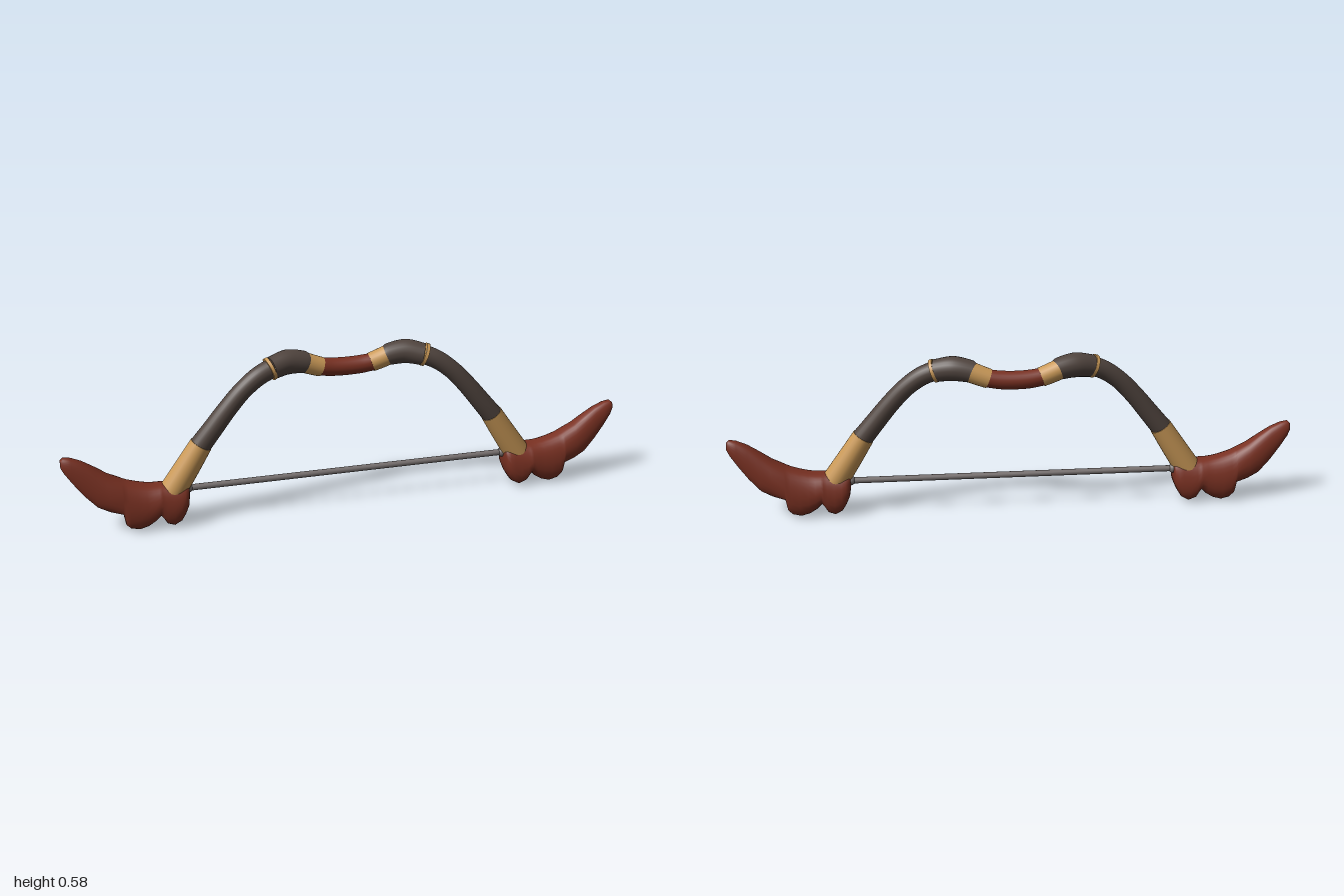
import * as THREE from 'three';

const RED = 0x7a3122, TAN = 0xcb9a58, DARK = 0x51453f, STEEL = 0x77706f;
const mat = (color) => new THREE.MeshStandardMaterial({ color, roughness: 0.8 });

// Swept round bar; each point is [x, y, z, radius], side mirrors x
function bar(name, pts, color, side = 1, capped = false) {
  const curve = new THREE.CatmullRomCurve3(pts.map(([x, y, z]) => new THREE.Vector3(x * side, y, z)));
  const n = pts.length * 6, m = 24;
  const geo = new THREE.TubeGeometry(curve, n, 1, m);
  const pos = geo.attributes.position, v = new THREE.Vector3();
  for (let i = 0; i <= n; i++) {
    const u = i / n, c = curve.getPointAt(u);
    const f = curve.getUtoTmapping(u) * (pts.length - 1);
    const k = Math.min(Math.floor(f), pts.length - 2);
    const r = THREE.MathUtils.lerp(pts[k][3], pts[k + 1][3], f - k);
    for (let j = 0; j <= m; j++) {
      const id = i * (m + 1) + j;
      v.fromBufferAttribute(pos, id).sub(c).multiplyScalar(r).add(c);
      pos.setXYZ(id, v.x, v.y, v.z);
    }
  }
  const group = new THREE.Group();
  group.name = name;
  group.add(new THREE.Mesh(geo, mat(color)));
  group.children[0].name = name + 'Surface';
  // Flat discs closing both ends
  if (capped) for (const u of [0, 1]) {
    const disc = new THREE.Mesh(new THREE.CircleGeometry(pts[u ? pts.length - 1 : 0][3], m), mat(color));
    const dir = curve.getTangentAt(u).multiplyScalar(u ? 1 : -1);
    disc.name = name + 'End';
    disc.position.copy(curve.getPointAt(u));
    disc.quaternion.setFromUnitVectors(new THREE.Vector3(0, 0, 1), dir);
    group.add(disc);
  }
  return group;
}

// Horn cross-sections: x, top, bottom, half depth
const HORN = [
  [0.578, 0.15, 0.1, 0.03], [0.583, 0.155, 0.07, 0.047], [0.595, 0.157, 0.043, 0.056],
  [0.61, 0.157, 0.018, 0.06], [0.635, 0.157, 0.004, 0.063], [0.66, 0.157, 0.014, 0.063],
  [0.672, 0.157, 0.036, 0.063], [0.681, 0.157, 0.048, 0.063], [0.7, 0.158, 0.028, 0.063],
  [0.725, 0.162, 0.012, 0.063], [0.755, 0.17, 0.003, 0.063], [0.785, 0.18, 0.01, 0.062],
  [0.8, 0.187, 0.025, 0.06], [0.807, 0.19, 0.066, 0.058], [0.85, 0.213, 0.08, 0.053],
  [0.89, 0.243, 0.1, 0.045], [0.93, 0.27, 0.145, 0.036], [0.965, 0.286, 0.195, 0.029],
  [0.99, 0.291, 0.235, 0.022], [1.0, 0.282, 0.255, 0.012],
];

// Lobed horn lofted through rounded-box sections
function horn(side) {
  const m = 28, zc = 0.012, pos = [], idx = [];
  const soft = (a) => Math.sign(a) * Math.abs(a) ** 0.7;
  for (const [x, top, bottom, half] of HORN) {
    for (let j = 0; j < m; j++) {
      const a = (j / m) * Math.PI * 2, sy = soft(Math.sin(a));
      const taper = 1 - 0.25 * Math.max(0, sy);
      pos.push(x * side, (top + bottom) / 2 + sy * (top - bottom) / 2, zc + soft(Math.cos(a)) * half * taper);
    }
  }
  const tri = (a, b, c) => (side > 0 ? idx.push(a, b, c) : idx.push(a, c, b));
  for (let i = 0; i < HORN.length - 1; i++) {
    for (let j = 0; j < m; j++) {
      const a = i * m + j, b = i * m + (j + 1) % m;
      tri(a, a + m, b);
      tri(b, a + m, b + m);
    }
  }
  // End caps
  for (const i of [0, HORN.length - 1]) {
    const [x, top, bottom] = HORN[i], c = pos.length / 3;
    pos.push(x * side, (top + bottom) / 2, zc);
    for (let j = 0; j < m; j++) {
      const a = i * m + j, b = i * m + (j + 1) % m;
      i ? tri(c, b, a) : tri(c, a, b);
    }
  }
  const geo = new THREE.BufferGeometry();
  geo.setAttribute('position', new THREE.Float32BufferAttribute(pos, 3));
  geo.setIndex(idx);
  geo.computeVertexNormals();
  const mesh = new THREE.Mesh(geo, mat(RED));
  mesh.name = 'horn';
  return mesh;
}

export function createModel() {
  const bow = new THREE.Group();
  bow.name = 'bow';

  // Central grip
  bow.add(bar('grip', [[-0.095, 0.507, -0.045, 0.031], [-0.05, 0.501, -0.048, 0.032], [0, 0.499, -0.049, 0.032],
    [0.05, 0.501, -0.048, 0.032], [0.095, 0.507, -0.045, 0.031]], RED));

  for (const s of [1, -1]) {
    const half = new THREE.Group();
    half.name = s > 0 ? 'leftLimb' : 'rightLimb';
    half.add(
      bar('gripCollar', [[0.09, 0.506, -0.045, 0.034], [0.12, 0.517, -0.043, 0.035], [0.155, 0.531, -0.04, 0.036]], TAN, s, true),
      bar('sleeve', [[0.145, 0.529, -0.04, 0.034], [0.15, 0.531, -0.039, 0.038], [0.21, 0.541, -0.03, 0.043],
        [0.272, 0.53, -0.012, 0.039]], DARK, s, true),
      bar('sleeveRing', [[0.27, 0.531, -0.012, 0.041], [0.281, 0.527, -0.01, 0.041]], TAN, s, true),
      bar('limb', [[0.27, 0.531, -0.012, 0.034], [0.32, 0.508, -0.004, 0.033], [0.375, 0.466, 0.003, 0.032],
        [0.43, 0.407, 0.008, 0.033], [0.485, 0.339, 0.011, 0.035], [0.53, 0.283, 0.012, 0.037]], DARK, s),
      bar('limbSocket', [[0.527, 0.287, 0.012, 0.039], [0.575, 0.212, 0.012, 0.043], [0.632, 0.125, 0.012, 0.047]], TAN, s, true),
      horn(s),
    );
    // Knot where the string meets the horn
    const knot = new THREE.Mesh(new THREE.SphereGeometry(0.017, 16, 12), mat(STEEL));
    knot.name = 'stringKnot';
    knot.position.set(0.578 * s, 0.125, 0.005);
    half.add(knot);
    bow.add(half);
  }

  // Bowstring
  const string = new THREE.Mesh(new THREE.CylinderGeometry(0.011, 0.011, 1.17, 12), mat(STEEL));
  string.name = 'bowstring';
  string.rotation.z = Math.PI / 2;
  string.position.set(0, 0.125, 0.005);
  bow.add(string);
  return bow;
}
